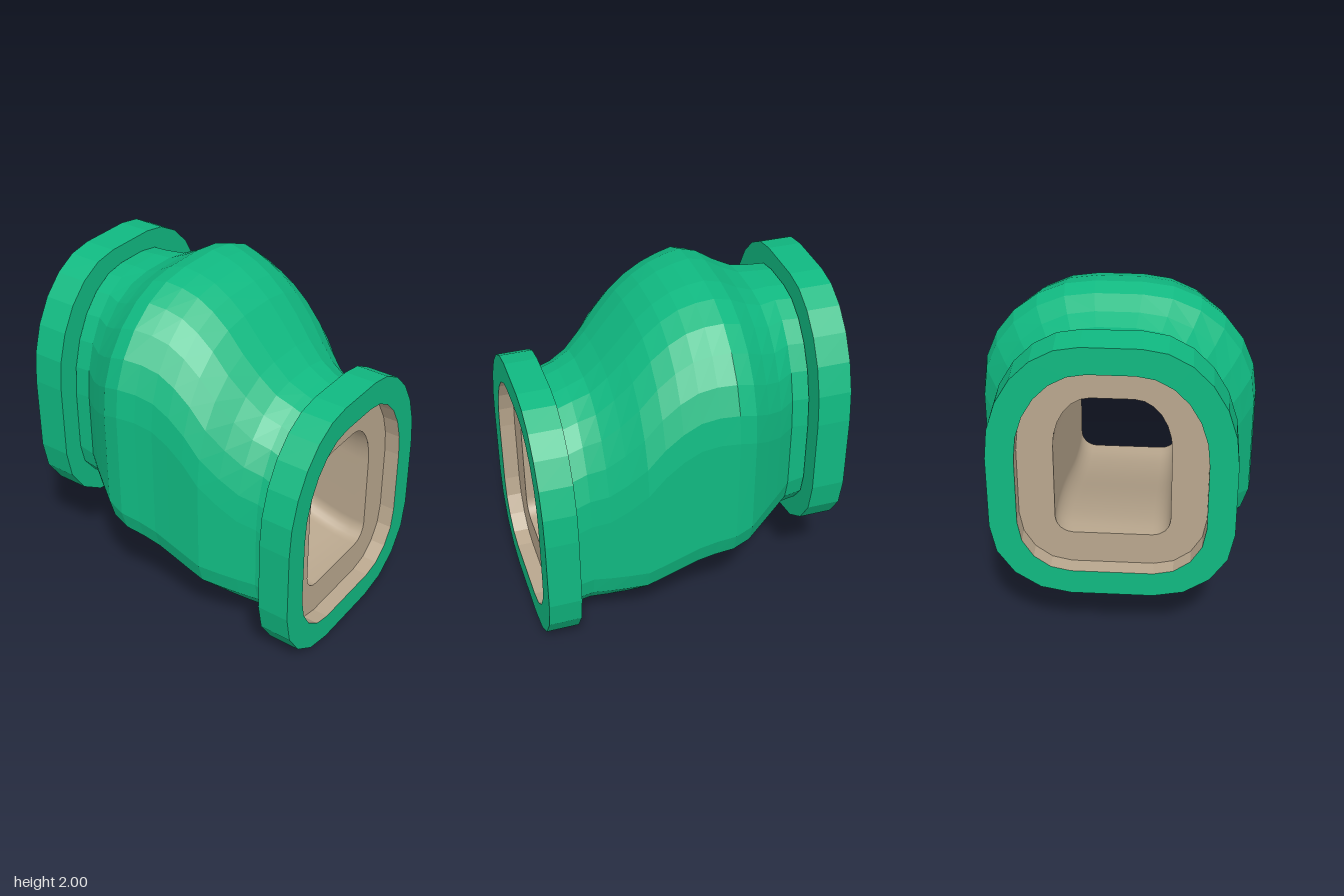
import * as THREE from 'three';

const green = new THREE.MeshStandardMaterial({ color: 0x10b981 });
green.name = 'green shell';
green.flatShading = true;
const tan = new THREE.MeshStandardMaterial({ color: 0xb9a78e });
tan.name = 'tan lining';

// Rounded section, anticlockwise seen from +z: flat base, round lower corners, arched top.
function section(s, z, lift = 0) {
  const { w, bottom, top, baseFlat, lowH, topFlat, topH, low = 4, up = 6 } = s;
  const half = [];
  for (let i = 0; i <= low; i++) {
    const a = (i / low) * Math.PI / 2;
    half.push([baseFlat + (w - baseFlat) * Math.sin(a), bottom + lowH * (1 - Math.cos(a))]);
  }
  for (let i = up; i >= 0; i--) {
    const a = (i / up) * Math.PI / 2;
    half.push([topFlat + (w - topFlat) * Math.sin(a), top - topH * (1 - Math.cos(a))]);
  }
  const mirrored = half.map(([x, y]) => [-x, y]).reverse();
  return [...half, ...mirrored].map(([x, y]) => [x, y + lift, z]);
}

// Skin joining a row of sections
function loft(sections, flat) {
  const n = sections[0].length, index = [];
  for (let k = 0; k < sections.length - 1; k++) {
    for (let j = 0; j < n; j++) {
      const a = k * n + j, d = k * n + (j + 1) % n;
      index.push(a, a + n, d + n, a, d + n, d);
    }
  }
  let geo = new THREE.BufferGeometry();
  geo.setAttribute('position', new THREE.Float32BufferAttribute(sections.flat(2), 3));
  geo.setIndex(index);
  if (flat) geo = geo.toNonIndexed();
  geo.computeVertexNormals();
  return geo;
}

// Gentle S-curve from 0 at the front to 1 at the back
function rise(z) {
  const t = THREE.MathUtils.clamp((0.66 - z) / 1.32, 0, 1);
  return (t + (1 - Math.cos(Math.PI * t)) / 2) / 2;
}

const LIFT = 0.457;
const collar = { w: 0.643, bottom: 0, top: 1.515, baseFlat: 0.22, lowH: 0.43, topFlat: 0.15, topH: 0.66 };
const recess = { w: 0.495, bottom: 0.15, top: 1.365, baseFlat: 0.22, lowH: 0.31, topFlat: 0.12, topH: 0.51 };
const neck = { w: 0.5, bottom: 0.15, top: 1.38, baseFlat: 0.2, lowH: 0.31, topFlat: 0.12, topH: 0.55 };
const bore = { w: 0.305, bottom: 0.342, top: 1.18, baseFlat: 0.21, lowH: 0.1, topFlat: 0.11, topH: 0.3 };

// Half-width and top height of the shell, front to back
const profile = [
  [0.53, 1.43], [0.53, 1.465], [0.575, 1.51], [0.62, 1.6], [0.665, 1.71],
  [0.67, 1.82], [0.675, 1.9], [0.682, 1.955], [0.705, 1.985], [0.738, 2.0],
  [0.727, 1.975], [0.665, 1.92], [0.6, 1.88], [0.53, 1.88], [0.53, 1.873],
];

export function createModel() {
  const model = new THREE.Group();
  const add = (name, geo, mat) => {
    const mesh = new THREE.Mesh(geo, mat);
    mesh.name = name;
    model.add(mesh);
  };

  // Bulging outer shell
  const shell = profile.map(([w, top], i) => {
    const z = 0.66 - i * 1.32 / (profile.length - 1);
    return section({
      w, top, bottom: 0.12 + 0.45 * rise(z),
      baseFlat: 0.32 * w, lowH: 0.315, topFlat: 0.17 * w, topH: 0.63,
    }, z);
  });
  add('shell', loft(shell, true), green);

  // End collars
  add('frontCollar', loft([
    section(recess, 0.85), section(collar, 0.85), section(collar, 0.665), section(neck, 0.665),
  ], true), green);
  add('backCollar', loft([
    section(neck, -0.665, LIFT), section(collar, -0.665, LIFT),
    section(collar, -0.85, LIFT), section(recess, -0.85, LIFT),
  ], true), green);

  // Recessed faces inside the collars
  add('frontRecess', loft([
    section(bore, 0.76), section(recess, 0.76), section(recess, 0.85),
  ], true), tan);
  add('backRecess', loft([
    section(recess, -0.85, LIFT), section(recess, -0.76, LIFT), section(bore, -0.76, LIFT),
  ], true), tan);

  // Smooth passage running through the shell
  const passage = [];
  for (let i = 0; i <= 20; i++) {
    const z = -0.76 + i * 1.52 / 20;
    passage.push(section({ ...bore, low: 6, up: 8 }, z, LIFT * rise(z)));
  }
  add('passage', loft(passage, false), tan);

  return model;
}
